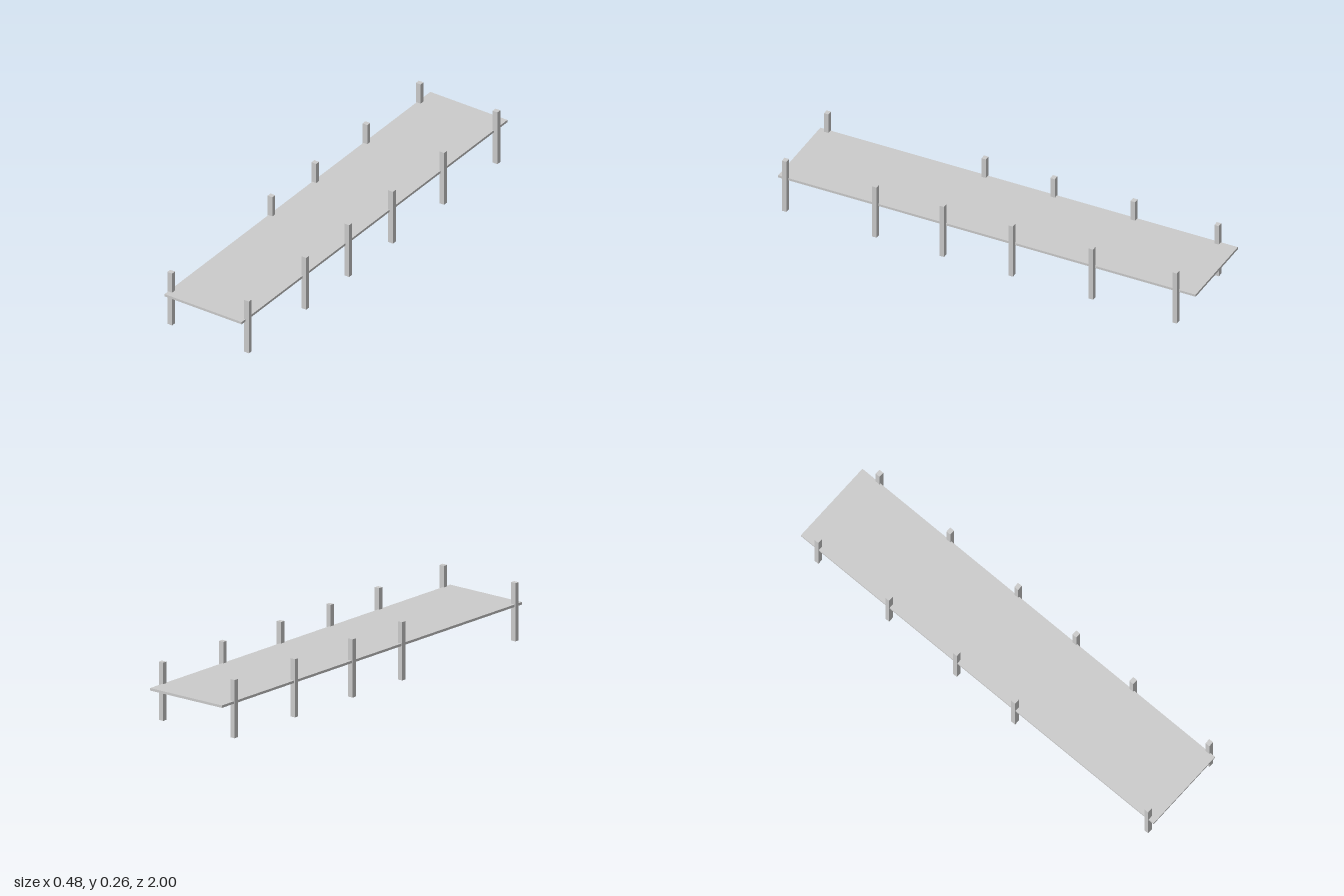
import * as THREE from 'three';

export function createModel() {
  const model = new THREE.Group();
  model.name = 'jetty';
  const material = new THREE.MeshStandardMaterial({ color: 0xcccccc, flatShading: true });

  const addBox = (name, width, height, depth, x, y, z) => {
    const mesh = new THREE.Mesh(new THREE.BoxGeometry(width, height, depth), material);
    mesh.name = name;
    mesh.position.set(x, y, z);
    return mesh;
  };

  // The whole jetty is turned slightly about the vertical axis
  const jetty = new THREE.Group();
  jetty.name = 'deckAndPosts';
  jetty.rotation.y = -0.031;
  model.add(jetty);

  // Thin deck
  jetty.add(addBox('deck', 0.399, 0.011, 1.988, -0.007, 0.158, 0));

  // Posts along both edges; the right edge lacks the one next to the front
  const postHeight = 0.259;
  const postRows = [-0.903, -0.504, -0.122, 0.206, 0.527, 0.956];
  for (const side of [-1, 1]) {
    postRows.forEach((z, i) => {
      if (side < 0 && i === 4) return;
      const name = side > 0 ? 'leftPost' : 'rightPost';
      jetty.add(addBox(name, 0.0245, postHeight, 0.0215, side * 0.1985, postHeight / 2, z));
    });
  }

  return model;
}
